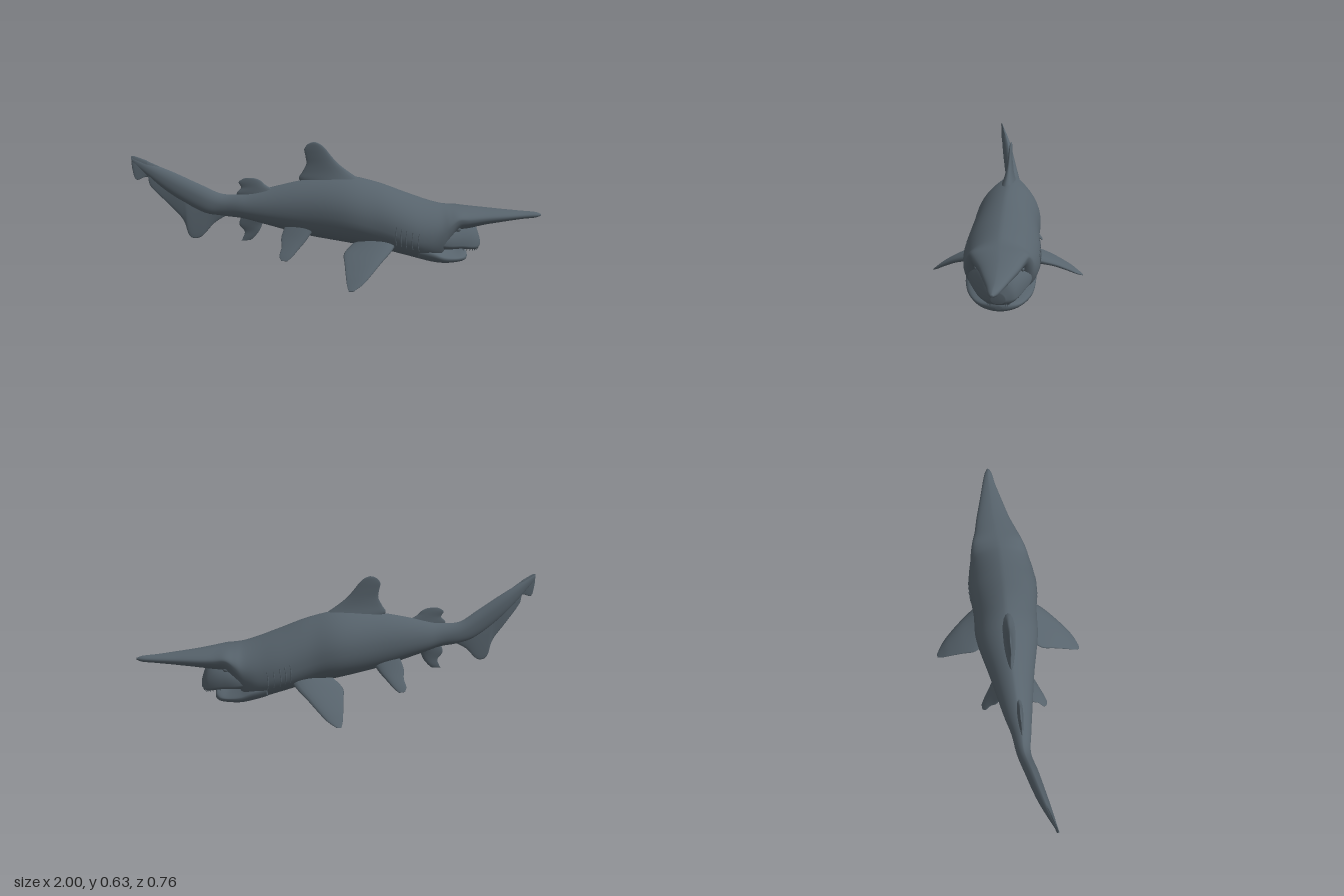
import * as THREE from 'three';

// Catmull-Rom blend of rows of numbers, t in 0..1
function blend(rows, t) {
  const n = rows.length - 1, f = Math.min(t, 1) * n, i = Math.min(Math.floor(f), n - 1), u = f - i;
  const r = k => rows[Math.max(0, Math.min(n, k))];
  return rows[0].map((_, k) => {
    const a = r(i - 1)[k], b = r(i)[k], c = r(i + 1)[k], d = r(i + 2)[k];
    return b + 0.5 * u * (c - a + u * (2 * a - 5 * b + 4 * c - d + u * (3 * (b - c) + d - a)));
  });
}

// Closed skin over rings of points, with capped ends; faces always turned outward
function skin(rings) {
  const m = rings[0].length, n = rings.length, idx = [];
  const centre = r => r.reduce((s, p) => s.add(p), new THREE.Vector3()).divideScalar(m);
  const points = [...rings.flat(), centre(rings[0]), centre(rings[n - 1])];
  for (let j = 0; j < m; j++) {
    const k = (j + 1) % m, last = (n - 1) * m;
    for (let i = 0; i < n - 1; i++) {
      const a = i * m + j, b = i * m + k;
      idx.push(a, a + m, b, b, a + m, b + m);
    }
    idx.push(n * m, j, k, n * m + 1, last + k, last + j);
  }
  let volume = 0;
  for (let i = 0; i < idx.length; i += 3) {
    volume += points[idx[i]].dot(points[idx[i + 1]].clone().cross(points[idx[i + 2]]));
  }
  if (volume < 0) idx.reverse();
  const g = new THREE.BufferGeometry().setFromPoints(points);
  g.setIndex(idx);
  g.computeVertexNormals();
  return g;
}

// Point on a section [x, top, bottom, widest y, centre z, half width, pinch of the lower half]
function sectionPoint([x, top, bottom, mid, cz, hw, pinch = 0.88], a) {
  const c = Math.cos(a), s = Math.sin(a);
  const z = cz + hw * Math.sign(c) * Math.abs(c) ** (s > 0 ? 1.3 : pinch);
  const y = mid + (s > 0 ? top - mid : mid - bottom) * Math.sign(s) * Math.abs(s) ** 0.95;
  return new THREE.Vector3(x, y, z);
}

function loft(rows, steps, sides) {
  return skin(Array.from({ length: steps + 1 }, (_, i) => {
    const row = blend(rows, i / steps);
    return Array.from({ length: sides }, (_, j) => sectionPoint(row, j / sides * Math.PI * 2));
  }));
}

// Fin from rows [leading x, y, z, trailing x, y, z, thickness], thick along normal n
function fin(rows, n) {
  const steps = (rows.length - 1) * 5, sides = 20;
  return skin(Array.from({ length: steps + 1 }, (_, i) => {
    const [ax, ay, az, bx, by, bz, t] = blend(rows, i / steps);
    const le = new THREE.Vector3(ax, ay, az), te = new THREE.Vector3(bx, by, bz);
    return Array.from({ length: sides }, (_, j) => {
      const a = j / sides * Math.PI * 2;
      return te.clone().lerp(le, 0.5 + 0.5 * Math.cos(a))
        .addScaledVector(n, t / 2 * Math.sin(a) * (0.7 + 0.3 * Math.cos(a)));
    });
  }));
}

const BODY = [
  [-1, .6, .575, .59, .15, .004, .9], [-.85, .53, .42, .48, .103, .024, .9], [-.7, .445, .31, .385, .063, .032, .9],
  [-.6, .39, .28, .335, .035, .034, .9], [-.5, .388, .265, .32, .03, .048, .9], [-.4, .408, .235, .31, .02, .07, .9],
  [-.2, .45, .175, .3, .005, .11, .9], [0, .467, .135, .28, -.007, .155, .9], [.15, .438, .108, .24, -.007, .162, .9],
  [.3, .382, .07, .19, -.01, .178, .88], [.4, .345, .042, .17, -.013, .173, .88], [.47, .323, .045, .19, -.016, .158, .9],
  [.515, .313, .1, .23, -.02, .146, 1.4], [.56, .306, .15, .26, -.025, .13, 2.2], [.62, .299, .18, .255, -.03, .11, 1.8],
  [.7, .289, .203, .252, -.04, .087, 1.2], [.8, .278, .218, .25, -.045, .061, .9], [.9, .268, .228, .248, -.05, .036, .9],
  [.97, .262, .233, .247, -.05, .02, .9], [1, .252, .242, .247, -.05, .006, .9],
];

// Body section at a given x
function bodyAt(x) {
  let lo = 0, hi = 1;
  for (let i = 0; i < 30; i++) {
    const t = (lo + hi) / 2;
    if (blend(BODY, t)[0] < x) lo = t; else hi = t;
  }
  return blend(BODY, lo);
}

export function createModel() {
  const group = new THREE.Group();
  const skinMat = new THREE.MeshStandardMaterial({ color: 0x57636c });
  skinMat.name = 'slate grey';
  const add = (name, geometry) => {
    const mesh = new THREE.Mesh(geometry, skinMat);
    mesh.name = name;
    group.add(mesh);
    return mesh;
  };
  const Z = new THREE.Vector3(0, 0, 1);

  // Body with the long flat snout
  add('body', loft(BODY, 114, 48));

  // Protruding jaws, growing out of the cheeks and throat
  const upper = [
    [.4, .24, .11, .16, -.015, .145], [.5, .25, .098, .14, -.02, .142], [.58, .25, .096, .13, -.025, .117],
    [.635, .235, .085, .118, -.03, .092], [.668, .195, .082, .112, -.035, .066], [.688, .14, .093, .112, -.035, .03],
  ];
  add('upperJaw', loft(upper, 30, 36));
  add('lowerJaw', loft([
    [.36, .16, .056, .12, -.013, .16], [.43, .145, .037, .1, -.015, .16], [.49, .105, .028, .075, -.019, .147],
    [.55, .08, .026, .062, -.023, .12], [.595, .074, .027, .056, -.026, .088], [.618, .07, .032, .052, -.028, .048],
    [.625, .058, .042, .05, -.03, .015],
  ], 36, 36));

  // Small teeth along the upper lip
  for (const s of [1, -1]) for (let i = 0; i < 7; i++) {
    const row = blend(upper, 0.45 + i * 0.07);
    const tooth = add('tooth', new THREE.ConeGeometry(0.005, 0.016, 6));
    tooth.rotation.x = Math.PI;
    tooth.position.set(row[0], row[2] + 0.002, row[4] + s * row[5] * 0.6);
  }

  // Tail blade, bending to one side
  add('tailFin', fin([
    [-1, .603, .15, -1, .55, .15, .006], [-.985, .603, .147, -.985, .49, .147, .01],
    [-.935, .58, .132, -.935, .5, .132, .018], [-.925, .573, .129, -.922, .452, .129, .02],
    [-.85, .528, .103, -.85, .36, .103, .03], [-.785, .49, .087, -.785, .275, .087, .034],
    [-.758, .476, .08, -.758, .188, .08, .034], [-.705, .446, .064, -.705, .18, .064, .034],
    [-.64, .405, .046, -.64, .245, .046, .034], [-.57, .37, .032, -.57, .285, .032, .03],
  ], Z));

  // Fins along the middle line
  add('firstDorsalFin', fin([
    [.12, .4, 0, -.16, .41, 0, .15], [.075, .45, 0, -.222, .452, 0, .09], [.02, .49, 0, -.205, .49, 0, .055],
    [-.03, .53, 0, -.186, .53, 0, .036], [-.065, .57, 0, -.19, .57, 0, .026], [-.092, .605, 0, -.195, .602, 0, .02],
    [-.118, .628, 0, -.18, .625, 0, .014], [-.14, .637, 0, -.16, .636, 0, .006],
  ], Z));
  add('secondDorsalFin', fin([
    [-.32, .37, .025, -.5, .36, .03, .06], [-.345, .405, .026, -.528, .39, .032, .04],
    [-.385, .43, .028, -.505, .418, .03, .028], [-.405, .45, .028, -.517, .445, .03, .018],
    [-.43, .463, .028, -.5, .46, .03, .01], [-.455, .467, .028, -.485, .466, .03, .005],
  ], Z));
  add('analFin', fin([
    [-.38, .28, .022, -.5, .29, .03, .05], [-.405, .235, .024, -.52, .235, .032, .03],
    [-.42, .2, .026, -.495, .195, .03, .02], [-.445, .168, .028, -.503, .165, .032, .014],
    [-.465, .15, .03, -.512, .148, .034, .006],
  ], Z));

  // Paired fins, gills and eyes; the head points along +x, so its right flank is +z
  for (const s of [1, -1]) {
    const side = s > 0 ? 'right' : 'left';
    add(side + 'PectoralFin', fin([
      [.26, .16, s * .1, .04, .15, s * .1, .09], [.222, .13, s * .18, -.005, .122, s * .17, .058],
      [.17, .098, s * .25, -.004, .093, s * .24, .04], [.12, .06, s * .31, 0, .055, s * .31, .027],
      [.08, .03, s * .35, .004, .027, s * .35, .016], [.035, .007, s * .378, .012, .006, s * .378, .006],
    ], new THREE.Vector3(0, .8, s * .6)));
    const pelvic = add(side + 'PelvicFin', fin([
      [-.15, .22, s * .07, -.29, .24, s * .06, .05], [-.19, .17, s * .105, -.31, .185, s * .09, .034],
      [-.225, .135, s * .13, -.308, .145, s * .12, .024], [-.255, .105, s * .152, -.318, .11, s * .147, .016],
      [-.28, .087, s * .166, -.31, .09, s * .164, .006],
    ], new THREE.Vector3(0, .6, s * .8)));
    pelvic.position.z = .012;

    for (const x of [.25, .275, .3, .33, .36]) {
      const points = [-.4, -.2, 0, .2].map((a, i) =>
        sectionPoint(bodyAt(x - .006 * Math.sin(i)), s > 0 ? a : Math.PI - a));
      add(side + 'GillRidge', new THREE.TubeGeometry(new THREE.CatmullRomCurve3(points), 12, 0.0025, 6));
    }

    const eye = add(side + 'Eye', new THREE.SphereGeometry(0.012, 16, 12));
    eye.position.copy(sectionPoint(bodyAt(.56), s > 0 ? -.45 : Math.PI + .45));
    eye.scale.set(1.2, .9, .6);
  }
  return group;
}
